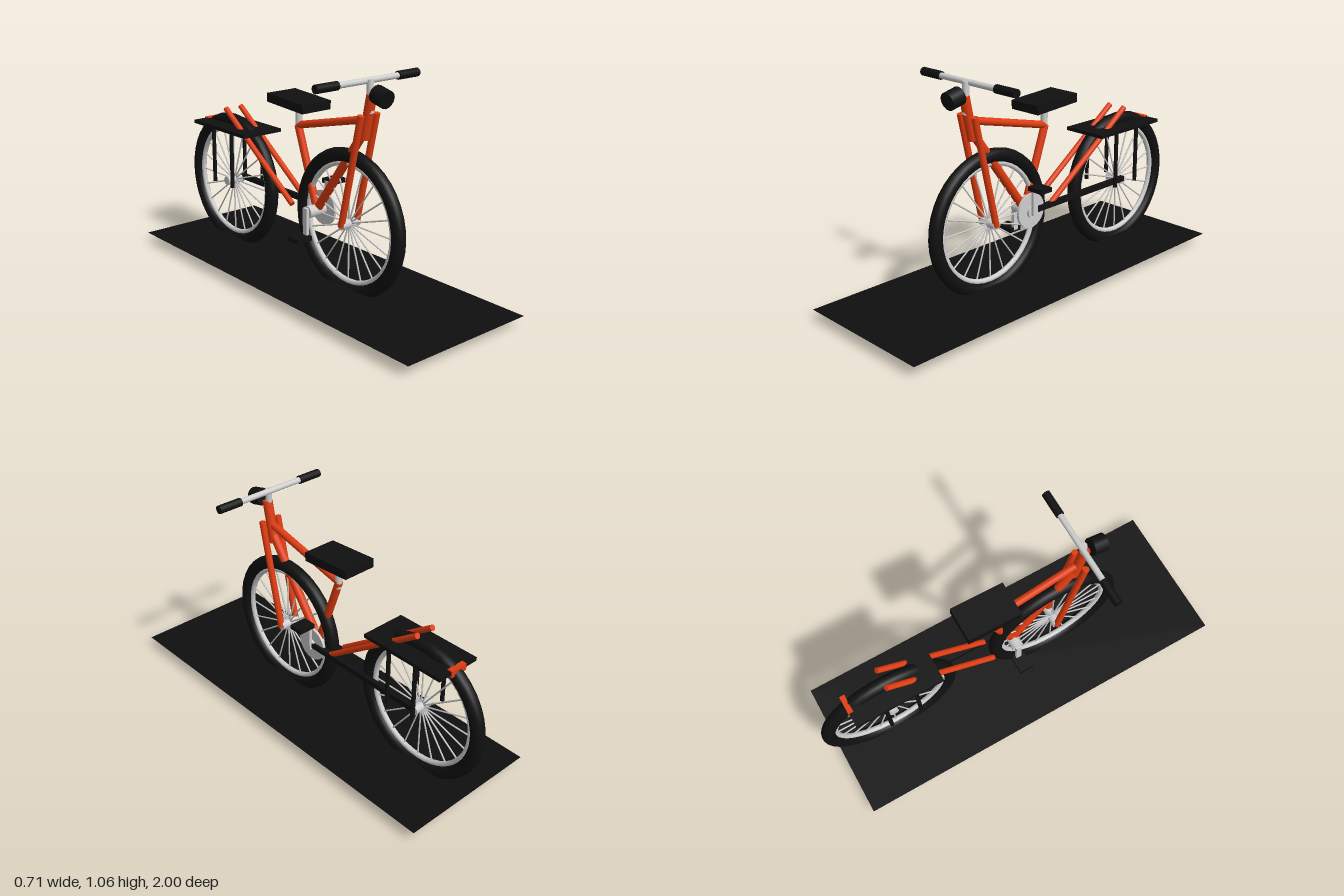
import * as THREE from 'three';

const mat = (name, color) => {
  const m = new THREE.MeshStandardMaterial({ color });
  m.name = name;
  return m;
};

export function createModel() {
  const orange = mat('orange paint', 0xe03c10);
  const black = mat('black rubber', 0x101010);
  const silver = mat('silver metal', 0xcfcfcf);
  const ground = mat('ground black', 0x0f0f0f);
  ground.side = THREE.DoubleSide;

  const model = new THREE.Group();
  model.name = 'bicycle';
  const V = (x, y, z) => new THREE.Vector3(x, y, z);

  const add = (name, geometry, material, pos = V(0, 0, 0), parent = model) => {
    const mesh = new THREE.Mesh(geometry, material);
    mesh.name = name;
    mesh.position.copy(pos);
    parent.add(mesh);
    return mesh;
  };
  // Round tube between two points
  const tube = (name, a, b, r, material, parent = model, sides = 14) => {
    const dir = b.clone().sub(a);
    const mesh = add(name, new THREE.CylinderGeometry(r, r, dir.length(), sides), material,
      a.clone().add(b).multiplyScalar(0.5), parent);
    mesh.quaternion.setFromUnitVectors(V(0, 1, 0), dir.normalize());
    return mesh;
  };
  const box = (name, w, h, d, material, x, y, z) =>
    add(name, new THREE.BoxGeometry(w, h, d), material, V(x, y, z));

  // Base sheet; the tyres dip slightly through it
  const sheet = add('groundSheet', new THREE.PlaneGeometry(0.71, 1.955), ground, V(0, 0.053, 0.0225));
  sheet.rotation.x = -Math.PI / 2;

  // Wheels
  const hubY = 0.357, frontZ = 0.257, rearZ = -0.643;
  const makeWheel = (name, z) => {
    const wheel = new THREE.Group();
    wheel.name = name;
    wheel.position.set(0, hubY, z);
    model.add(wheel);
    add('tyre', new THREE.TorusGeometry(0.322, 0.033, 14, 40), black, undefined, wheel).rotation.y = Math.PI / 2;
    add('rim', new THREE.TorusGeometry(0.284, 0.013, 10, 40), silver, undefined, wheel).rotation.y = Math.PI / 2;
    tube('hub', V(-0.05, 0, 0), V(0.05, 0, 0), 0.023, silver, wheel);
    for (let i = 0; i < 20; i++) {
      const a = (i / 20) * Math.PI * 2;
      tube('spoke', V(0, 0, 0), V(0, 0.28 * Math.cos(a), 0.28 * Math.sin(a)), 0.004, silver, wheel, 6);
    }
  };
  makeWheel('frontWheel', frontZ);
  makeWheel('rearWheel', rearZ);

  // Main frame
  const bracket = V(0, 0.365, 0.03);
  const seatJoint = V(0, 0.752, -0.107);
  tube('headTube', V(0, 0.775, 0.35), V(0, 0.98, 0.394), 0.024, orange);
  tube('topTube', V(0, 0.865, 0.362), seatJoint, 0.018, orange);
  tube('downTube', V(0, 0.82, 0.36), bracket, 0.021, orange);
  tube('seatTube', seatJoint, bracket, 0.019, orange);
  for (const s of [-1, 1]) {
    tube('forkBlade', V(s * 0.047, 0.35, 0.257), V(s * 0.047, 0.89, 0.378), 0.016, orange);
    tube('rearStay', V(s * 0.046, 0.368, -0.1), V(s * 0.046, 0.745, -0.637), 0.014, orange);
  }

  // Seat
  tube('seatPost', V(0, 0.72, -0.103), V(0, 0.86, -0.103), 0.017, silver);
  box('saddle', 0.17, 0.043, 0.265, black, 0, 0.868, -0.105).rotation.x = 0.06;

  // Steering
  tube('stem', V(0, 0.897, 0.388), V(0, 1.045, 0.382), 0.016, silver);
  tube('handlebar', V(-0.19, 1.038, 0.37), V(0.19, 1.038, 0.37), 0.014, silver);
  for (const s of [-1, 1]) {
    tube('grip', V(s * 0.177, 1.038, 0.37), V(s * 0.3, 1.038, 0.37), 0.02, black);
  }
  tube('headlamp', V(0, 0.988, 0.42), V(0, 0.971, 0.49), 0.042, black);

  // Drivetrain
  tube('bottomBracket', V(-0.06, 0.363, 0.03), V(0.06, 0.363, 0.03), 0.03, silver);
  tube('chainring', V(0.036, 0.367, 0.03), V(0.048, 0.367, 0.03), 0.085, silver, model, 28);
  box('chainCover', 0.024, 0.026, 0.657, black, 0.05, 0.368, -0.31);
  for (const s of [-1, 1]) {
    box('crank', 0.015, 0.145, 0.028, silver, s * 0.067, 0.367 + s * 0.055, 0.028);
    box('pedal', 0.088, 0.022, 0.07, black, s * 0.104, 0.366 + s * 0.124, 0.03);
  }

  // Rear carrier
  box('carrierPlate', 0.23, 0.017, 0.44, black, 0, 0.653, -0.61);
  for (const s of [-1, 1]) {
    for (const z of [-0.525, -0.68]) {
      tube('carrierLeg', V(s * 0.096, 0.358, z), V(s * 0.096, 0.65, z), 0.01, black);
    }
  }
  box('rearReflector', 0.09, 0.034, 0.025, orange, 0, 0.65, -0.822);

  return model;
}
